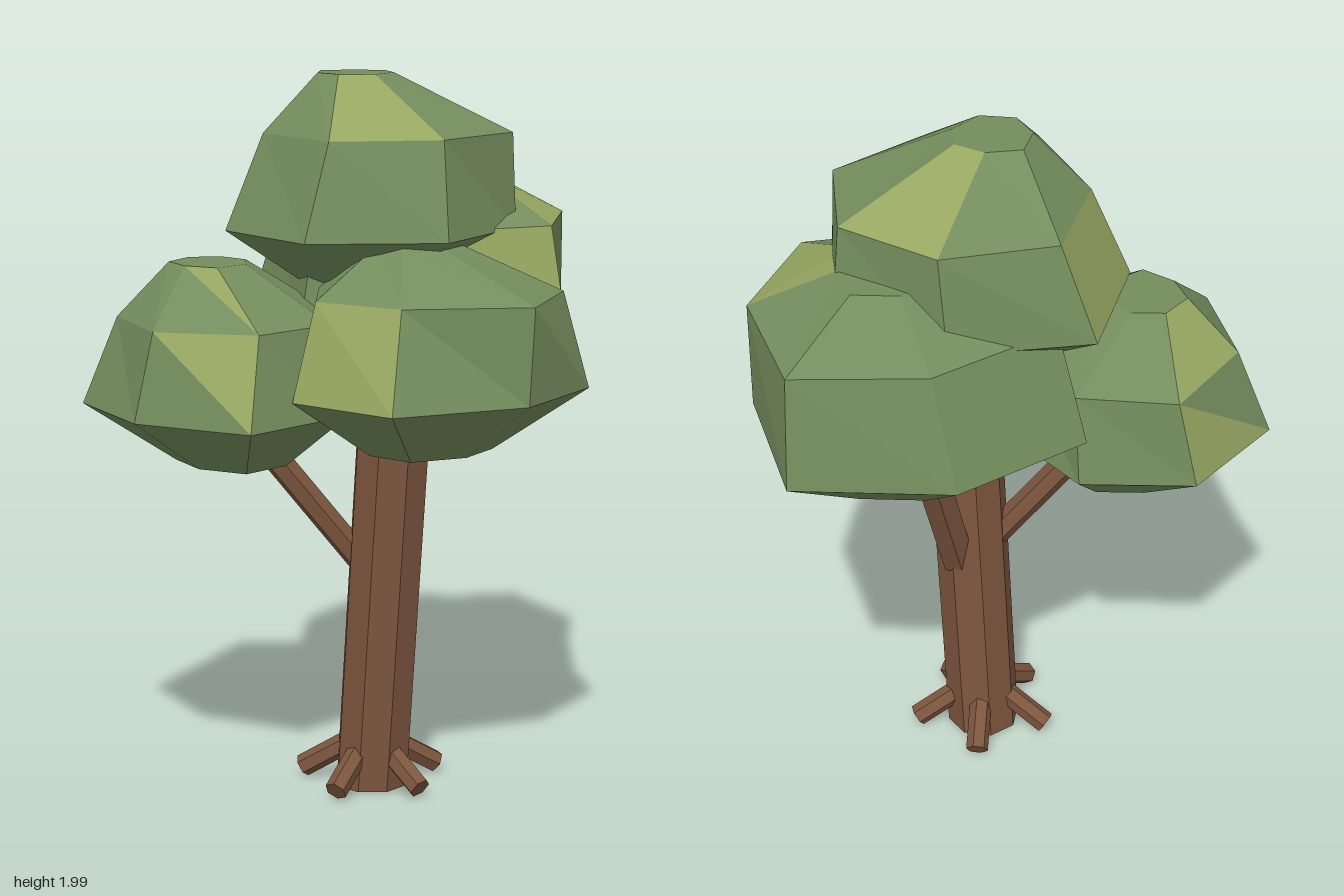
import * as THREE from 'three';

const SIDES = 7;

// Joins four seven-sided rings into a faceted clump; keys in "accents" pick lime facets.
function clumpGeometry({ heights, wide, upper, cap, capScale, base, accents }) {
  const mid = [0, 1].map((k) => wide.reduce((s, p) => s + p[k], 0) / SIDES);
  const scaled = (centre, s) => wide.map((p) => [centre[0] + (p[0] - mid[0]) * s, centre[1] + (p[1] - mid[1]) * s]);
  const plans = [scaled(base, 0.42), wide, upper, scaled(cap, capScale)];
  const rings = plans.map((ring, r) => ring.map(([x, z]) => [x, heights[r], z]));
  const plain = [];
  const lime = [];
  const add = (key, half, ...corners) => {
    const bucket = accents.includes(key) || accents.includes(key + half) ? lime : plain;
    bucket.push(...corners.flat());
  };
  const low = [base[0], heights[0], base[1]];
  const high = [cap[0], heights[3], cap[1]];
  for (let i = 0; i < SIDES; i++) {
    const j = (i + 1) % SIDES;
    for (let band = 0; band < 3; band++) {
      const L = rings[band];
      const U = rings[band + 1];
      add(`${band}:${i}`, 'a', L[j], L[i], U[j]);
      add(`${band}:${i}`, 'b', L[i], U[i], U[j]);
    }
    add('base', '', low, rings[0][i], rings[0][j]);
    add('cap', '', high, rings[3][j], rings[3][i]);
  }
  const geometry = new THREE.BufferGeometry();
  geometry.setAttribute('position', new THREE.Float32BufferAttribute([...plain, ...lime], 3));
  geometry.addGroup(0, plain.length / 3, 0);
  geometry.addGroup(plain.length / 3, lime.length / 3, 1);
  geometry.computeVertexNormals();
  return geometry;
}

// A faceted round log between two points, with level or square-cut ends.
function log(name, from, to, r0, r1, sides, material, level = false) {
  const a = new THREE.Vector3(...from);
  const b = new THREE.Vector3(...to);
  const along = b.clone().sub(a);
  const height = level ? along.y : along.length();
  let geometry = new THREE.CylinderGeometry(r1, r0, height, sides);
  if (level) {
    const shear = new THREE.Matrix4().set(
      1, along.x / height, 0, 0, 0, 1, 0, 0, 0, along.z / height, 1, 0, 0, 0, 0, 1);
    geometry.applyMatrix4(shear);
  } else {
    geometry.applyQuaternion(new THREE.Quaternion().setFromUnitVectors(
      new THREE.Vector3(0, 1, 0), along.clone().normalize()));
  }
  geometry = geometry.toNonIndexed();
  geometry.computeVertexNormals();
  const mesh = new THREE.Mesh(geometry, material);
  mesh.position.copy(a.add(b).multiplyScalar(0.5));
  mesh.name = name;
  return mesh;
}

// Ring corners run clockwise from the back, as [x, z].
const CLUMPS = [
  {
    name: 'topFoliage', heights: [1.42, 1.58, 1.84, 2.0],
    wide: [[-0.145, -0.43], [0.235, -0.4], [0.485, -0.167], [0.43, 0.155], [0.118, 0.378], [-0.235, 0.245], [-0.32, -0.104]],
    upper: [[-0.063, -0.367], [0.25, -0.367], [0.46, -0.15], [0.42, 0.15], [0.145, 0.29], [-0.15, 0.21], [-0.21, -0.1]],
    cap: [0.04, -0.05], capScale: 0.26, base: [0.08, -0.05], accents: ['1:6', '2:1', '2:4'],
  },
  {
    name: 'frontFoliage', heights: [1.0, 1.17, 1.43, 1.565],
    wide: [[-0.1, -0.17], [0.22, -0.2], [0.5, 0.05], [0.53, 0.4], [0.255, 0.58], [-0.13, 0.567], [-0.285, 0.28]],
    upper: [[-0.05, -0.08], [0.22, -0.12], [0.47, 0.12], [0.475, 0.35], [0.27, 0.577], [-0.06, 0.47], [-0.21, 0.26]],
    cap: [0.09, 0.22], capScale: 0.27, base: [0.135, 0.21], accents: ['1:5', '2:2'],
  },
  {
    name: 'rightFoliage', heights: [0.95, 1.11, 1.35, 1.5],
    wide: [[-0.42, -0.448], [-0.12, -0.37], [0.02, -0.08], [-0.1, 0.22], [-0.43, 0.352], [-0.655, 0.09], [-0.69, -0.237]],
    upper: [[-0.375, -0.41], [-0.12, -0.32], [-0.03, -0.06], [-0.13, 0.17], [-0.365, 0.25], [-0.6, 0.09], [-0.6, -0.2]],
    cap: [-0.37, -0.09], capScale: 0.29, base: [-0.31, -0.07], accents: ['1:6a', '2:6', '1:4b', '2:4b'],
  },
  {
    name: 'leftFoliage', heights: [1.09, 1.29, 1.59, 1.72],
    wide: [[0.255, -0.592], [0.667, -0.478], [0.69, -0.06], [0.51, 0.315], [0.1, 0.32], [-0.15, 0], [-0.12, -0.44]],
    upper: [[0.3, -0.507], [0.65, -0.43], [0.69, -0.06], [0.5, 0.23], [0.1, 0.22], [-0.1, 0], [-0.06, -0.36]],
    cap: [0.34, -0.18], capScale: 0.3, base: [0.29, -0.13], accents: ['1:3', '2:2'],
  },
];

export function createModel() {
  const group = new THREE.Group();
  group.name = 'tree';
  const bark = new THREE.MeshStandardMaterial({ color: 0x7c553e });
  bark.name = 'bark brown';
  const leaf = new THREE.MeshStandardMaterial({ color: 0x748d5d });
  leaf.name = 'leaf green';
  const lime = new THREE.MeshStandardMaterial({ color: 0x97a761 });
  lime.name = 'lime green';

  // Foliage clumps
  for (const spec of CLUMPS) {
    const mesh = new THREE.Mesh(clumpGeometry(spec), [leaf, lime]);
    mesh.name = spec.name;
    group.add(mesh);
  }

  // Leaning trunk and its two branches
  group.add(log('trunk', [0.05, 0.01, 0.045], [0.09, 1.2, 0.12], 0.105, 0.105, 8, bark, true));
  group.add(log('rightBranch', [0.06, 0.6, 0.07], [-0.3, 1.07, -0.03], 0.038, 0.038, 6, bark));
  group.add(log('leftBranch', [0.12, 0.6, 0.05], [0.26, 1.16, -0.11], 0.052, 0.052, 6, bark));

  // Five roots splayed around the base
  for (let i = 0; i < 5; i++) {
    const angle = (i * Math.PI * 2) / 5;
    const at = (r, y) => [0.05 + r * Math.cos(angle), y, 0.045 + r * Math.sin(angle)];
    group.add(log('root', at(0.05, 0.132), at(0.2, 0.04), 0.032, 0.032, 6, bark));
  }
  return group;
}
